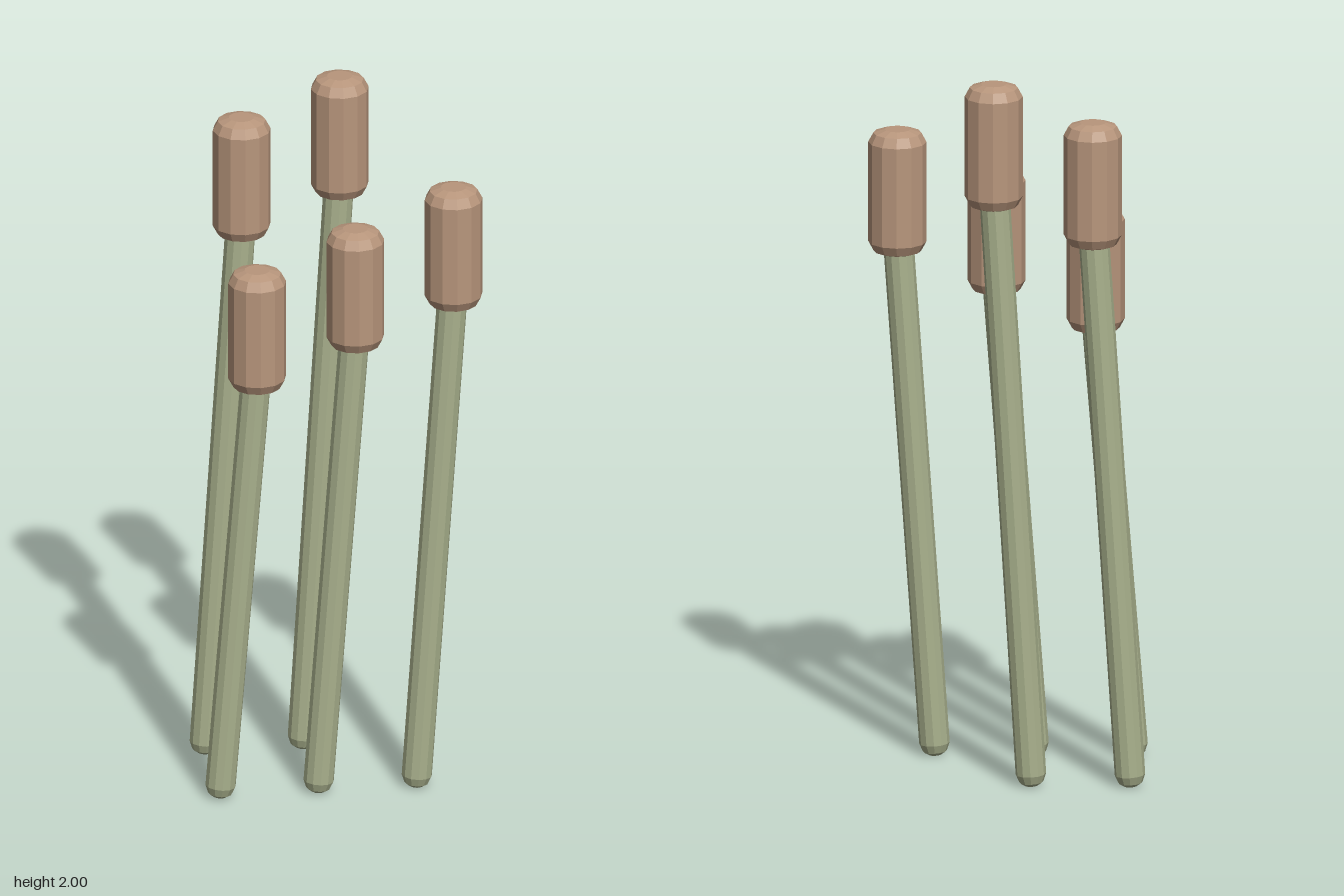
import * as THREE from 'three';

const SIDES = 12;
const headMaterial = new THREE.MeshStandardMaterial({ color: 0xb8967c, flatShading: true });
const stemMaterial = new THREE.MeshStandardMaterial({ color: 0xa9b18d, flatShading: true });

const lathe = (profile) =>
  new THREE.LatheGeometry(profile.map(([r, y]) => new THREE.Vector2(r, y)), SIDES);

// Upright faceted seed head with bevelled ends, hanging down from its top
function makeHead() {
  const h = 0.355;
  return lathe([
    [0, -h], [0.035, -h], [0.066, -h + 0.01], [0.08, -h + 0.036],
    [0.08, -0.036], [0.066, -0.01], [0.035, 0], [0, 0],
  ]);
}

// Thin straight rod with a rounded foot
function makeStem(length) {
  return lathe([
    [0, 0], [0.018, 0.001], [0.033, 0.011], [0.042, 0.034],
    [0.042, length - 0.01], [0, length],
  ]);
}

// One reed: leaning stem below a vertical head
function makeReed(footX, z, topY) {
  const reed = new THREE.Group();
  reed.name = 'reed';
  const headX = footX + 0.104;

  const head = new THREE.Mesh(makeHead(), headMaterial);
  head.name = 'seedHead';
  head.position.set(headX, topY, z);

  const foot = new THREE.Vector3(footX, 0.002, z);
  const lean = new THREE.Vector3(headX, topY - 0.28, z).sub(foot);
  const stem = new THREE.Mesh(makeStem(lean.length()), stemMaterial);
  stem.name = 'stem';
  stem.position.copy(foot);
  stem.quaternion.setFromUnitVectors(new THREE.Vector3(0, 1, 0), lean.normalize());

  reed.add(stem, head);
  return reed;
}

export function createModel() {
  const model = new THREE.Group();
  model.name = 'reeds';
  const spacing = 0.272;

  // Front row of three, back row of two, each row rising towards +x
  const rows = [
    { z: 0.155, tops: [1.567, 1.675, 1.783] },
    { z: -0.155, tops: [1.892, 2.0] },
  ];
  for (const { z, tops } of rows) {
    tops.forEach((topY, i) => model.add(makeReed(-0.345 + i * spacing, z, topY)));
  }
  return model;
}
